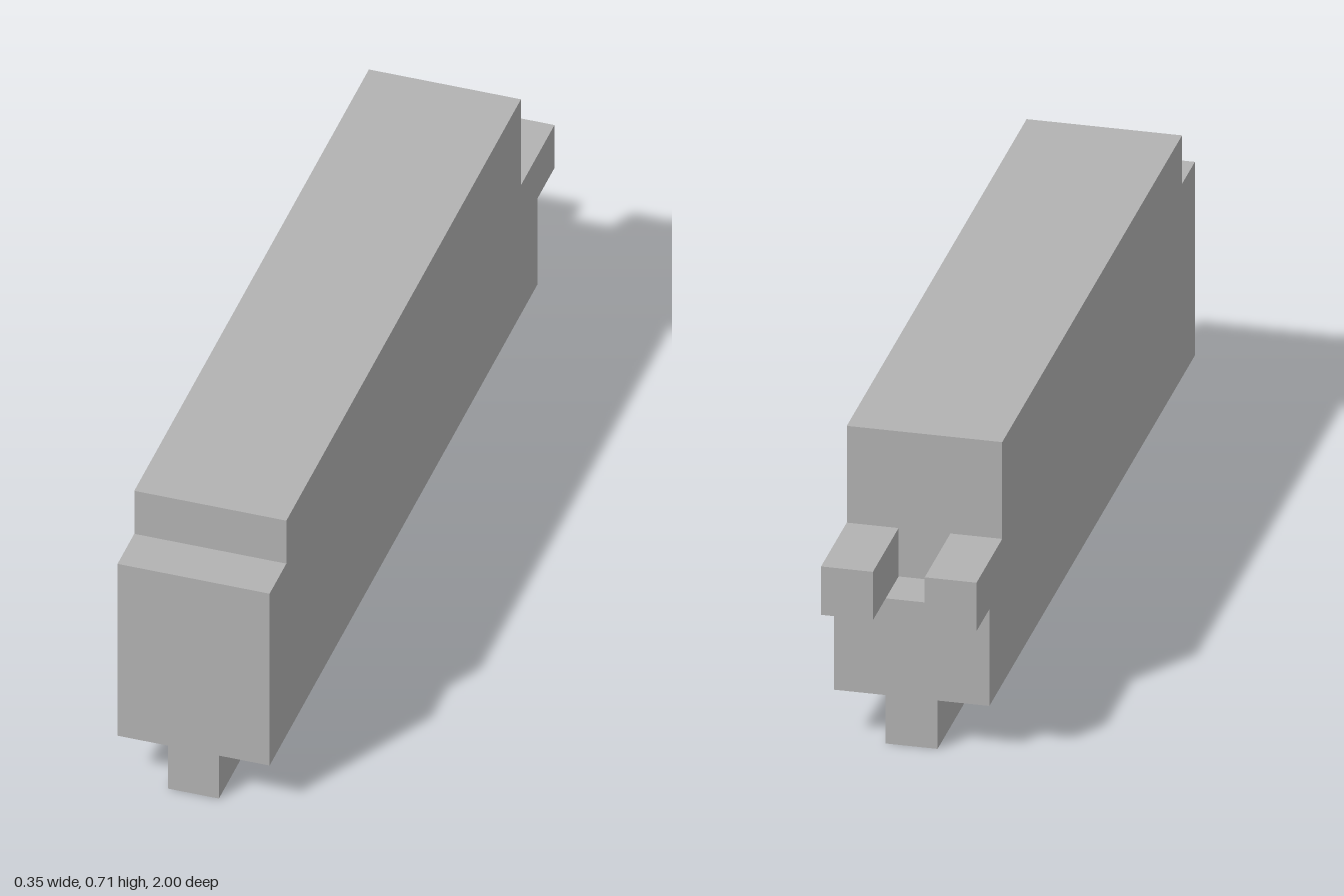
import * as THREE from 'three';

// The whole model sits on a grid of 17 units along its length
const U = 2 / 17;

export function createModel() {
  const group = new THREE.Group();
  const grey = new THREE.MeshStandardMaterial({ color: 0xb2b2b2 });
  grey.name = 'grey';

  const add = (name, geometry) => {
    const mesh = new THREE.Mesh(geometry, grey);
    mesh.name = name;
    group.add(mesh);
    return mesh;
  };

  // Box given by its x centre, width and ranges in y and z, in grid units from the back
  const block = (name, x, w, y0, y1, z0, z1) =>
    add(name, new THREE.BoxGeometry(w * U, (y1 - y0) * U, (z1 - z0) * U))
      .position.set(x * U, (y0 + y1) / 2 * U, ((z0 + z1) / 2 - 8.5) * U);

  // Body: stepped side profile (z, y) extruded across the width
  const profile = [[1, 1], [17, 1], [17, 5], [16, 5], [16, 6], [2, 6], [2, 3], [1, 3]];
  const shape = new THREE.Shape(profile.map(([z, y]) => new THREE.Vector2((z - 8.5) * U, y * U)));
  const body = new THREE.ExtrudeGeometry(shape, { depth: 3 * U, bevelEnabled: false });
  body.translate(0, 0, -1.5 * U).rotateY(-Math.PI / 2);
  add('body', body);

  // Narrow rail under the body
  block('bottomRail', 0, 1, 0, 1, 1, 17);

  // Pair of prongs at the back
  for (const side of [-1, 1]) {
    block(side > 0 ? 'leftProng' : 'rightProng', side, 1, 3, 4, 0, 2);
  }

  return group;
}
